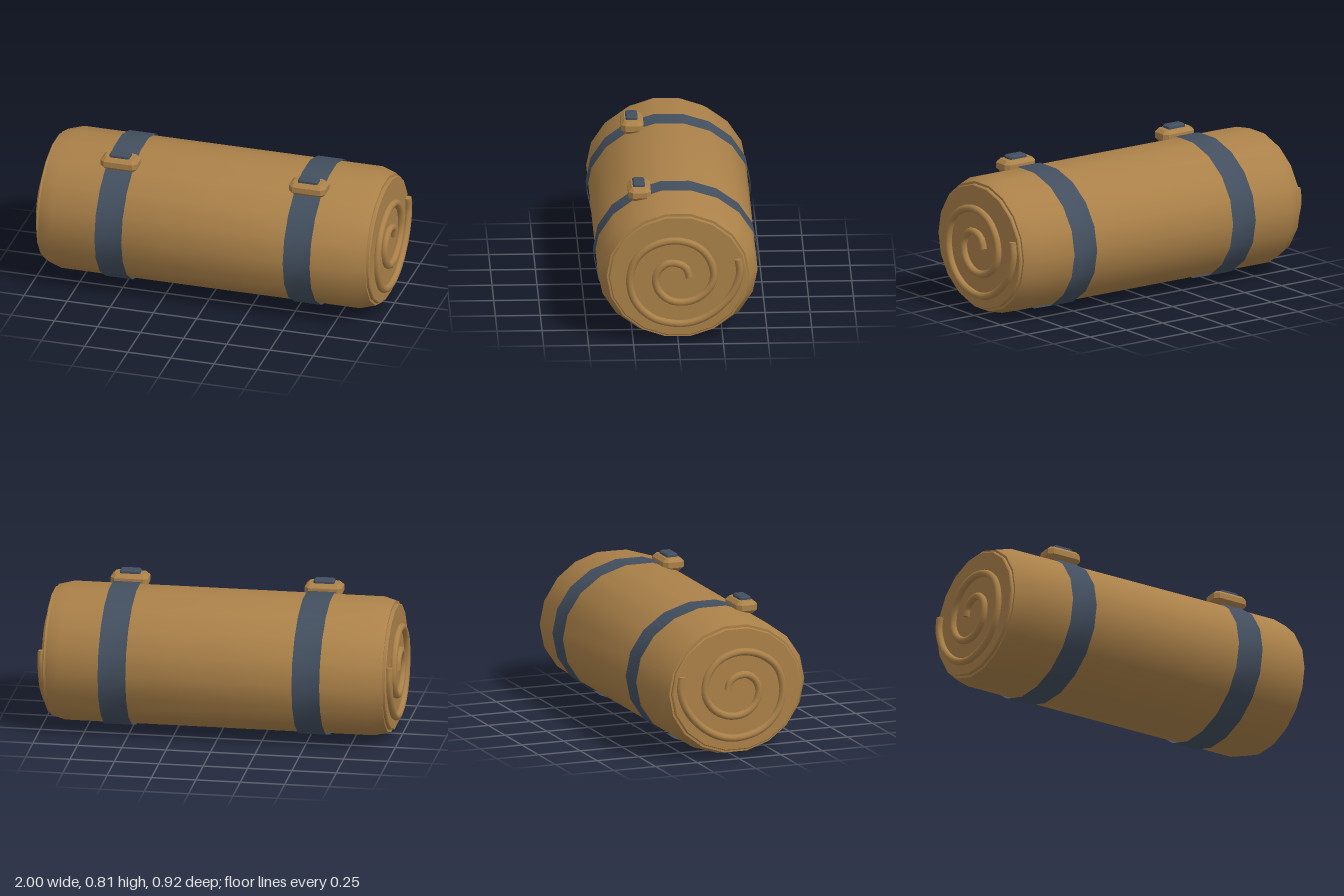
import * as THREE from 'three';
import { toCreasedNormals } from 'three/addons/utils/BufferGeometryUtils.js';

const SIDES = 18;
const CENTRE_Y = 0.39;

// Skin over oval cross-sections along x; each ring is [x, zRadius, yRadius]
function loft(rings) {
  const pos = [];
  const index = [];
  for (const [x, rz, ry] of rings) {
    for (let j = 0; j < SIDES; j++) {
      const a = (j / SIDES) * Math.PI * 2;
      pos.push(x, Math.sin(a) * ry, Math.cos(a) * rz);
    }
  }
  for (let i = 0; i < rings.length - 1; i++) {
    for (let j = 0; j < SIDES; j++) {
      const k = (j + 1) % SIDES;
      const a = i * SIDES + j, b = a + SIDES, c = (i + 1) * SIDES + k, d = i * SIDES + k;
      if (rings[i + 1][1] > 0) index.push(a, b, c);
      else index.push(a, b, d);
      if (rings[i][1] > 0 && rings[i + 1][1] > 0) index.push(a, c, d);
      else if (rings[i][1] === 0) index.push(a, c, d);
    }
  }
  const geo = new THREE.BufferGeometry();
  geo.setAttribute('position', new THREE.Float32BufferAttribute(pos, 3));
  geo.setIndex(index);
  return toCreasedNormals(geo, 0.7);
}

// Box with every edge chamfered, centred on its own origin
function chamferBox(w, h, d, c) {
  const x = w / 2 - c, z = d / 2 - c, k = c * 0.6;
  const shape = new THREE.Shape([
    [-x + k, -z], [x - k, -z], [x, -z + k], [x, z - k],
    [x - k, z], [-x + k, z], [-x, z - k], [-x, -z + k],
  ].map(([u, v]) => new THREE.Vector2(u, v)));
  const geo = new THREE.ExtrudeGeometry(shape, {
    depth: h - 2 * c, bevelEnabled: true, bevelThickness: c, bevelSize: c, bevelSegments: 1,
  });
  geo.translate(0, 0, -(h - 2 * c) / 2);
  geo.rotateX(-Math.PI / 2);
  return geo;
}

// Rolled edge seen on each end, from the outer tail to the centre: [z, y]
const SPIRAL = [
  [-0.333, 0.49], [-0.342, 0.41], [-0.3, 0.29], [-0.2, 0.183], [-0.1, 0.13], [0, 0.115],
  [0.14, 0.15], [0.235, 0.24], [0.27, 0.36], [0.245, 0.48], [0.19, 0.545], [0.1, 0.592],
  [0, 0.603], [-0.11, 0.565], [-0.18, 0.48], [-0.195, 0.375], [-0.15, 0.295], [-0.06, 0.245],
  [0.04, 0.25], [0.107, 0.305], [0.127, 0.375], [0.11, 0.43], [0.06, 0.47], [0, 0.468],
  [-0.045, 0.44], [-0.06, 0.39],
];

export function createModel() {
  const canvas = new THREE.MeshStandardMaterial({ color: 0xab8149 });
  canvas.name = 'tan canvas';
  const webbing = new THREE.MeshStandardMaterial({ color: 0x434f5f, side: THREE.DoubleSide });
  webbing.name = 'slate webbing';

  const model = new THREE.Group();
  model.name = 'bedroll';
  const add = (name, geo, mat, x = 0, y = 0, z = 0, parent = model) => {
    const mesh = new THREE.Mesh(geo, mat);
    mesh.name = name;
    mesh.position.set(x, y, z);
    parent.add(mesh);
    return mesh;
  };

  // Rolled body with sloped shoulders
  add('rollBody', loft([
    [-0.948, 0, 0], [-0.948, 0.398, 0.366], [-0.865, 0.445, 0.386],
    [0.865, 0.445, 0.386], [0.948, 0.398, 0.366], [0.948, 0, 0],
  ]), canvas, 0, CENTRE_Y);

  // End discs and their raised spirals
  for (const side of [-1, 1]) {
    const name = side > 0 ? 'left' : 'right';
    const disc = [[0.94, 0.387, 0.352], [0.962, 0.387, 0.352], [0.967, 0.381, 0.347], [0.967, 0, 0]]
      .map(([x, rz, ry]) => [x * side, rz, ry]);
    if (side < 0) disc.reverse();
    add(name + 'EndDisc', loft(disc), canvas, 0, CENTRE_Y);

    const path = new THREE.CatmullRomCurve3(
      SPIRAL.map(([z, y]) => new THREE.Vector3(side * 0.979, y, z)));
    add(name + 'EndSpiral', new THREE.TubeGeometry(path, 90, 0.021, 8), canvas);

    // Flat caps on the two spiral ends
    for (const t of [0, 1]) {
      const cap = add(name + 'SpiralTip', new THREE.CircleGeometry(0.021, 8), canvas);
      const p = path.getPointAt(t);
      cap.position.copy(p);
      cap.lookAt(p.clone().addScaledVector(path.getTangentAt(t), t ? 1 : -1));
    }
  }

  // Straps, each with a buckle and a keeper
  for (const x of [-0.527, 0.565]) {
    const strap = new THREE.Group();
    strap.name = x > 0 ? 'leftStrap' : 'rightStrap';
    strap.position.x = x;
    model.add(strap);
    add('strapBand', loft([[-0.078, 0.458, 0.396], [0.078, 0.458, 0.396]]), webbing, 0, CENTRE_Y, 0, strap);
    add('buckle', chamferBox(0.212, 0.072, 0.125, 0.02), canvas, 0, 0.76, 0.203, strap);
    add('buckleKeeper', chamferBox(0.115, 0.04, 0.067, 0.007), webbing, 0, 0.795, 0.206, strap);
  }

  return model;
}
